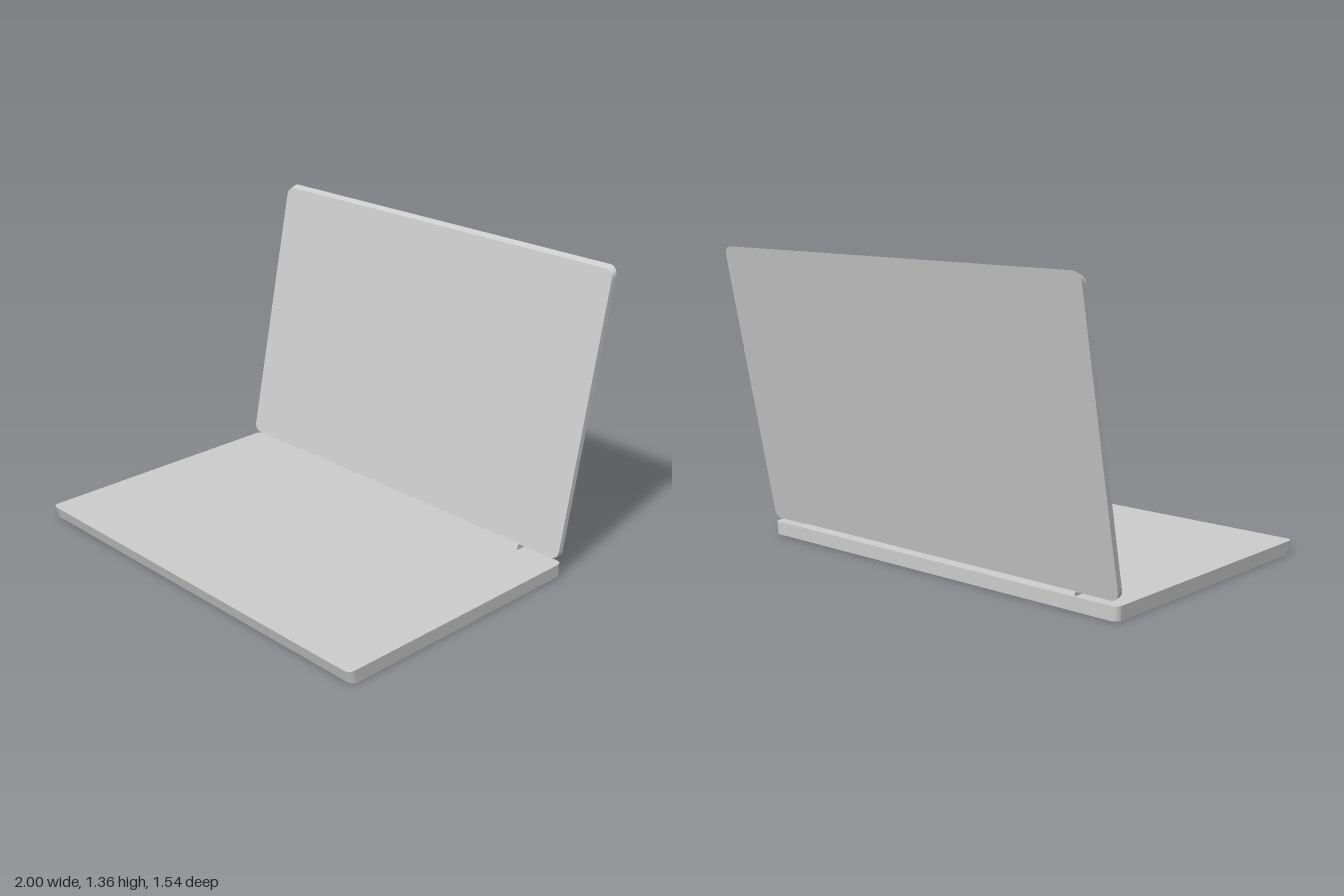
import * as THREE from 'three';

const material = new THREE.MeshStandardMaterial({ color: 0xcccccc });

// Rounded rectangle standing on y = 0, centred on x
function roundedRect(width, height, r) {
  const w = width / 2, s = new THREE.Shape();
  s.moveTo(-w + r, 0);
  s.lineTo(w - r, 0);
  s.absarc(w - r, r, r, -Math.PI / 2, 0);
  s.lineTo(w, height - r);
  s.absarc(w - r, height - r, r, 0, Math.PI / 2);
  s.lineTo(-w + r, height);
  s.absarc(-w + r, height - r, r, Math.PI / 2, Math.PI);
  s.lineTo(-w, r);
  s.absarc(-w + r, r, r, Math.PI, Math.PI * 1.5);
  return s;
}

// Thin panel whose far end is bevelled: it ends `slant` earlier (or later) on the front face
function panel(name, width, height, r, depth, slant) {
  const geo = new THREE.ExtrudeGeometry(roundedRect(width, height, r), {
    depth, bevelEnabled: false, curveSegments: 6,
  });
  const p = geo.attributes.position;
  for (let i = 0; i < p.count; i++) {
    if (p.getY(i) > height / 2 && p.getZ(i) > depth / 2) p.setY(i, p.getY(i) + slant);
  }
  geo.computeVertexNormals();
  const mesh = new THREE.Mesh(geo, material);
  mesh.name = name;
  return mesh;
}

export function createModel() {
  const group = new THREE.Group();
  group.name = 'laptop';

  // Base: lies flat, front edge undercut
  const base = panel('base', 2, 1.3, 0.03, 0.06, -0.02);
  base.rotation.x = Math.PI / 2;
  base.position.set(0, 0.06, -0.53);
  group.add(base);

  // Lid: leans back, top edge bevelled towards the screen
  const lid = panel('lid', 2, 1.303, 0.04, 0.027, -0.018);
  lid.rotation.x = -0.195;
  lid.position.set(0, 0.077, -0.52);
  group.add(lid);

  // Hinge: trapezoid bar between base and lid, profile drawn in (-z, y)
  const profile = new THREE.Shape([
    [0.474, 0.058], [0.53, 0.058], [0.522, 0.078], [0.512, 0.085], [0.484, 0.085],
  ].map(([x, y]) => new THREE.Vector2(x, y)));
  const hingeGeo = new THREE.ExtrudeGeometry(profile, { depth: 1.58, bevelEnabled: false });
  hingeGeo.translate(0, 0, -0.79);
  hingeGeo.rotateY(Math.PI / 2);
  const hinge = new THREE.Mesh(hingeGeo, material);
  hinge.name = 'hinge';
  group.add(hinge);

  return group;
}
